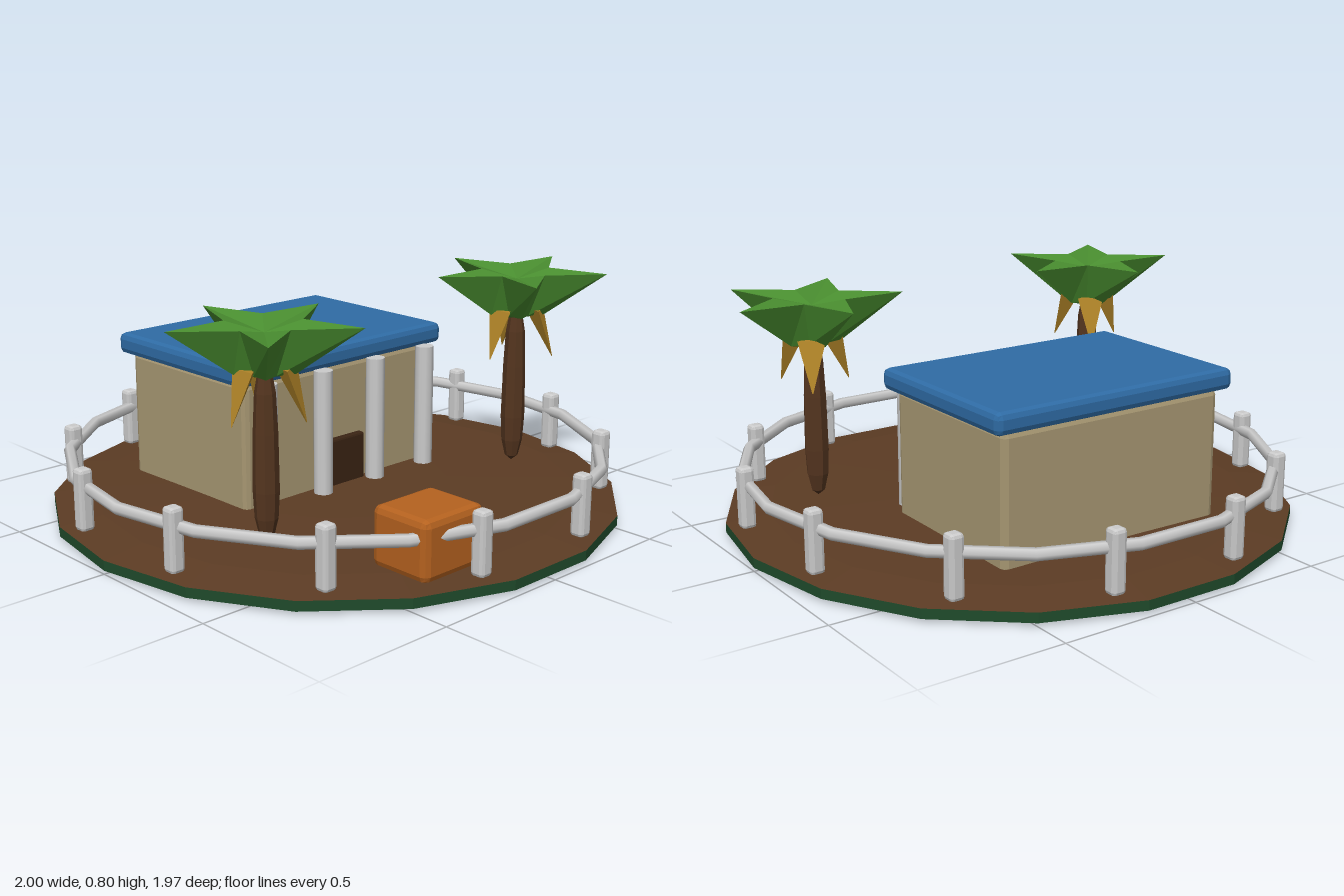
import * as THREE from 'three';
import { RoundedBoxGeometry } from 'three/addons/geometries/RoundedBoxGeometry.js';

const mat = (color, flatShading = true) => new THREE.MeshStandardMaterial({ color, flatShading });
const soil = mat(0x5c3c24), grass = mat(0x1f4a2b), plaster = mat(0xa89873), roofBlue = mat(0x2f6ca5);
const wood = mat(0xb5621f), dark = mat(0x3a2414), bark = mat(0x54351f), leaf = mat(0x4a8f30);
const dryLeaf = mat(0xb08428), grey = mat(0xcccccc), greySmooth = mat(0xcccccc, false);
dryLeaf.side = THREE.DoubleSide;

function add(parent, name, geometry, material, x = 0, y = 0, z = 0) {
  const mesh = new THREE.Mesh(geometry, material);
  mesh.name = name;
  mesh.position.set(x, y, z);
  parent.add(mesh);
  return mesh;
}

// Box with bevelled edges, given by its extents
function bevelBox(parent, name, material, [x0, x1], [y0, y1], [z0, z1], bevel) {
  const g = new RoundedBoxGeometry(x1 - x0, y1 - y0, z1 - z0, 1, bevel);
  return add(parent, name, g, material, (x0 + x1) / 2, (y0 + y1) / 2, (z0 + z1) / 2);
}

const lathe = (points, sides) =>
  new THREE.LatheGeometry(points.map(([r, y]) => new THREE.Vector2(r, y)), sides);

// Five-pointed crown: a flared ten-sided drum whose alternate corners are pulled in
function crownGeometry() {
  const g = new THREE.CylinderGeometry(0.315, 0.1, 0.155, 10, 1);
  const p = g.attributes.position;
  for (let i = 0; i < p.count; i++) {
    const x = p.getX(i), y = p.getY(i), z = p.getZ(i);
    if (Math.hypot(x, z) < 0.001) {
      p.setY(i, y - (y > 0 ? 0.03 : 0.02)); // both cap centres sit lower
    } else if (Math.round(Math.atan2(x, z) / (Math.PI / 5)) % 2 === 0) {
      const k = y > 0 ? 0.41 : 0.6;
      p.setX(i, x * k);
      p.setZ(i, z * k);
    }
  }
  g.rotateY(-0.04);
  return g;
}

// Hanging dry frond: a three-sided spike pointing down and outward along +x
function frondGeometry() {
  const g = new THREE.CylinderGeometry(0.055, 0.002, 0.17, 3, 1);
  g.rotateY(Math.PI / 6);
  const p = g.attributes.position;
  for (let i = 0; i < p.count; i++) {
    const top = p.getY(i) > 0;
    p.setX(i, p.getX(i) * 0.7 + (top ? 0.07 : 0.135));
  }
  return g;
}

function palm(x, z) {
  const tree = new THREE.Group();
  tree.name = 'palmTree';
  tree.position.set(x, 0, z);
  const trunk = [[0, 0.09], [0.024, 0.11], [0.038, 0.17], [0.043, 0.26], [0.04, 0.45], [0.034, 0.58], [0.02, 0.66]];
  add(tree, 'trunk', lathe(trunk, 8), bark);
  add(tree, 'crown', crownGeometry(), leaf, 0, 0.7225, 0);
  for (let i = 0; i < 3; i++) {
    add(tree, 'dryFrond', frondGeometry(), dryLeaf, 0, 0.58, 0).rotation.y = Math.PI + i * Math.PI * 2 / 3;
  }
  return tree;
}

export function createModel() {
  const model = new THREE.Group();
  model.name = 'islandHouse';

  // Ground: green underside and rim, shallow brown dome on top; corners lie on the x axis
  const turn = Math.PI / 2;
  add(model, 'groundBase', lathe([[0, 0], [0.35, 0.003], [1, 0.012], [1, 0.046]], 18), grass).rotation.y = turn;
  add(model, 'groundTop', lathe([[1, 0.046], [0.85, 0.066], [0.4, 0.078], [0, 0.08]], 18), soil).rotation.y = turn;

  // House
  const house = new THREE.Group();
  house.name = 'house';
  model.add(house);
  bevelBox(house, 'walls', plaster, [-0.44, 0.435], [0.05, 0.515], [-0.595, 0.03], 0.02);
  bevelBox(house, 'roof', roofBlue, [-0.482, 0.476], [0.512, 0.588], [-0.622, 0.06], 0.022);
  bevelBox(house, 'door', dark, [-0.092, 0.092], [0.06, 0.248], [0.01, 0.052], 0.008);
  for (let i = 0; i < 4; i++) {
    add(house, 'column', new THREE.CylinderGeometry(0.034, 0.034, 0.45, 10), greySmooth, -0.38 + i * 0.25, 0.295, 0.076);
  }

  // Fence: twelve posts and one ring rail
  const fence = new THREE.Group();
  fence.name = 'fence';
  model.add(fence);
  for (let i = 0; i < 12; i++) {
    const a = (i + 0.5) * Math.PI / 6;
    add(fence, 'post', new RoundedBoxGeometry(0.052, 0.215, 0.052, 1, 0.013), grey,
      Math.cos(a) * 0.937, 0.163, Math.sin(a) * 0.937);
  }
  add(fence, 'rail', new THREE.TorusGeometry(0.938, 0.021, 6, 18), greySmooth, 0, 0.205, 0).rotation.x = Math.PI / 2;

  // Crate and palms
  bevelBox(model, 'crate', wood, [-0.448, -0.185], [0.065, 0.267], [0.635, 0.865], 0.024);
  model.add(palm(-0.59, 0.31), palm(0.598, 0.31));

  return model;
}
